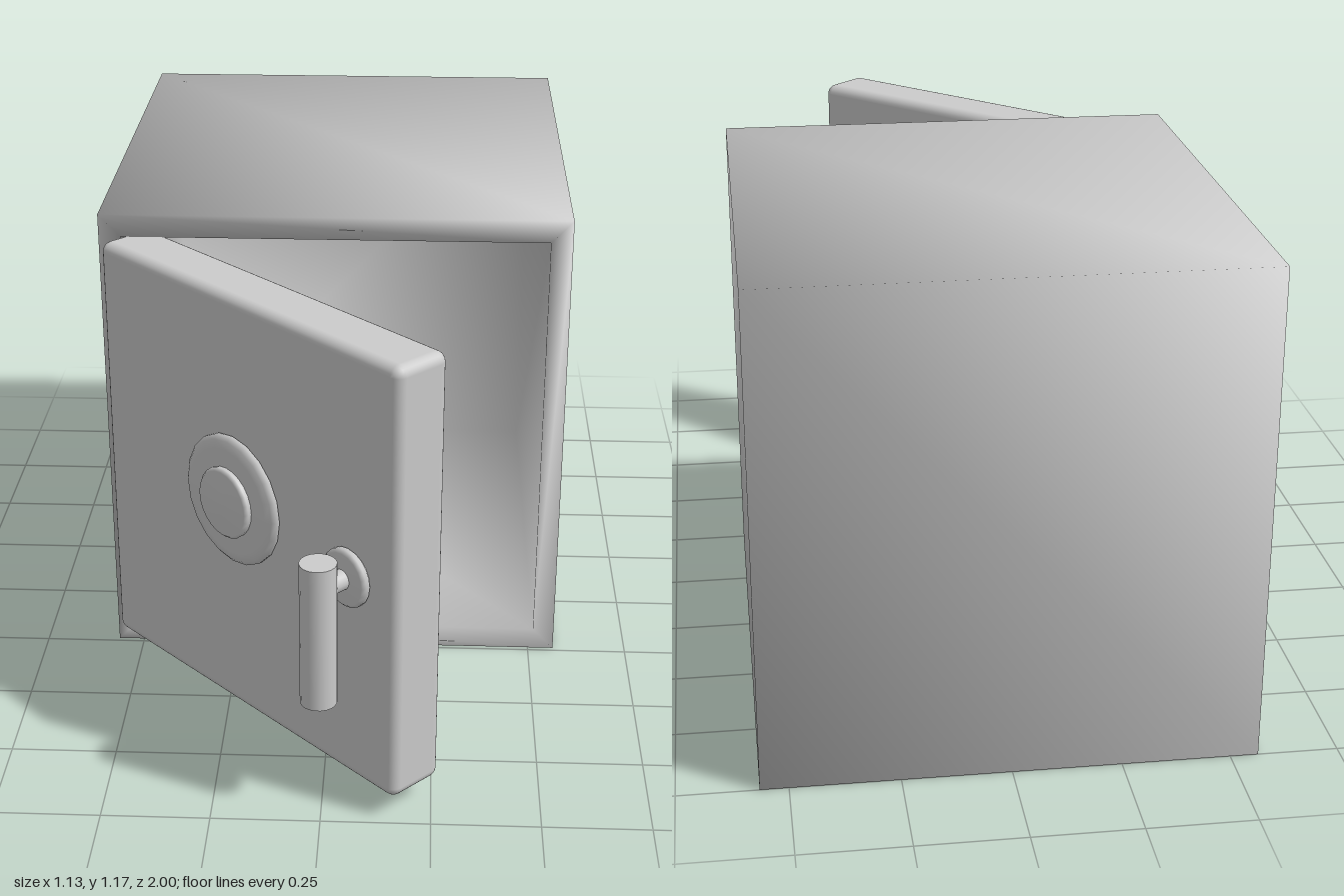
import * as THREE from 'three';
import { RoundedBoxGeometry } from 'three/addons/geometries/RoundedBoxGeometry.js';

const material = new THREE.MeshStandardMaterial({ color: 0xcccccc });

function add(parent, name, geometry, x = 0, y = 0, z = 0) {
  const mesh = new THREE.Mesh(geometry, material);
  mesh.name = name;
  mesh.position.set(x, y, z);
  parent.add(mesh);
  return mesh;
}

// Open-fronted hollow box made of four rectangular rings, smoothly shaded
function hollowBox() {
  const rings = [ // half width, bottom, top, z
    [0.565, 0, 1.172, -1],
    [0.565, 0, 1.172, 0.238],
    [0.512, 0.055, 1.117, 0.238],
    [0.512, 0.055, 1.117, -0.94],
  ];
  const points = rings.flatMap(([w, b, t, z]) => [-w, b, z, w, b, z, w, t, z, -w, t, z]);
  const index = [0, 3, 2, 0, 2, 1, 12, 13, 14, 12, 14, 15]; // outer and inner back
  for (let r = 0; r < 3; r++) {
    for (let i = 0; i < 4; i++) {
      const a = r * 4 + i, b = r * 4 + (i + 1) % 4;
      index.push(a, b, a + 4, b, b + 4, a + 4);
    }
  }
  const geometry = new THREE.BufferGeometry();
  geometry.setAttribute('position', new THREE.Float32BufferAttribute(points, 3));
  geometry.setIndex(index);
  geometry.computeVertexNormals();
  return geometry;
}

// Round part turned about the z axis from [radius, depth] pairs
function turned(profile, sides) {
  const geometry = new THREE.LatheGeometry(profile.map(([r, d]) => new THREE.Vector2(r, d)), sides);
  return geometry.rotateX(Math.PI / 2);
}

export function createModel() {
  const safe = new THREE.Group();
  safe.name = 'safe';
  add(safe, 'body', hollowBox());

  // Door swung open by 45 degrees, with its fittings on the outer face
  const door = new THREE.Group();
  door.name = 'door';
  door.position.set(-0.145, 0.586, 0.58);
  door.rotation.y = -Math.PI / 4;
  safe.add(door);
  add(door, 'doorPanel', new RoundedBoxGeometry(1.024, 1.062, 0.15, 3, 0.025));

  // Combination dial: broad disc and raised knob
  add(door, 'dialDisc', turned([
    [0.15, 0], [0.16, 0.006], [0.16, 0.014], [0.15, 0.022], [0.13, 0.026], [0, 0.028],
  ], 20), -0.02, 0.034, 0.074);
  add(door, 'dialKnob', turned([
    [0.085, 0], [0.087, 0.018], [0.08, 0.026], [0, 0.028],
  ], 24), -0.02, 0.034, 0.092);

  // Lever handle: round plate, stem and upright bar
  const handle = new THREE.Group();
  handle.name = 'handle';
  handle.position.set(0.367, -0.008, 0.074);
  door.add(handle);
  add(handle, 'handlePlate', turned([
    [0.064, 0], [0.07, 0.006], [0.07, 0.016], [0.062, 0.024], [0, 0.025],
  ], 20));
  add(handle, 'handleStem', turned([[0.024, 0], [0.024, 0.08]], 16));
  add(handle, 'handleBar', new THREE.CylinderGeometry(0.042, 0.042, 0.35, 20), 0, -0.108, 0.0935);

  return safe;
}
